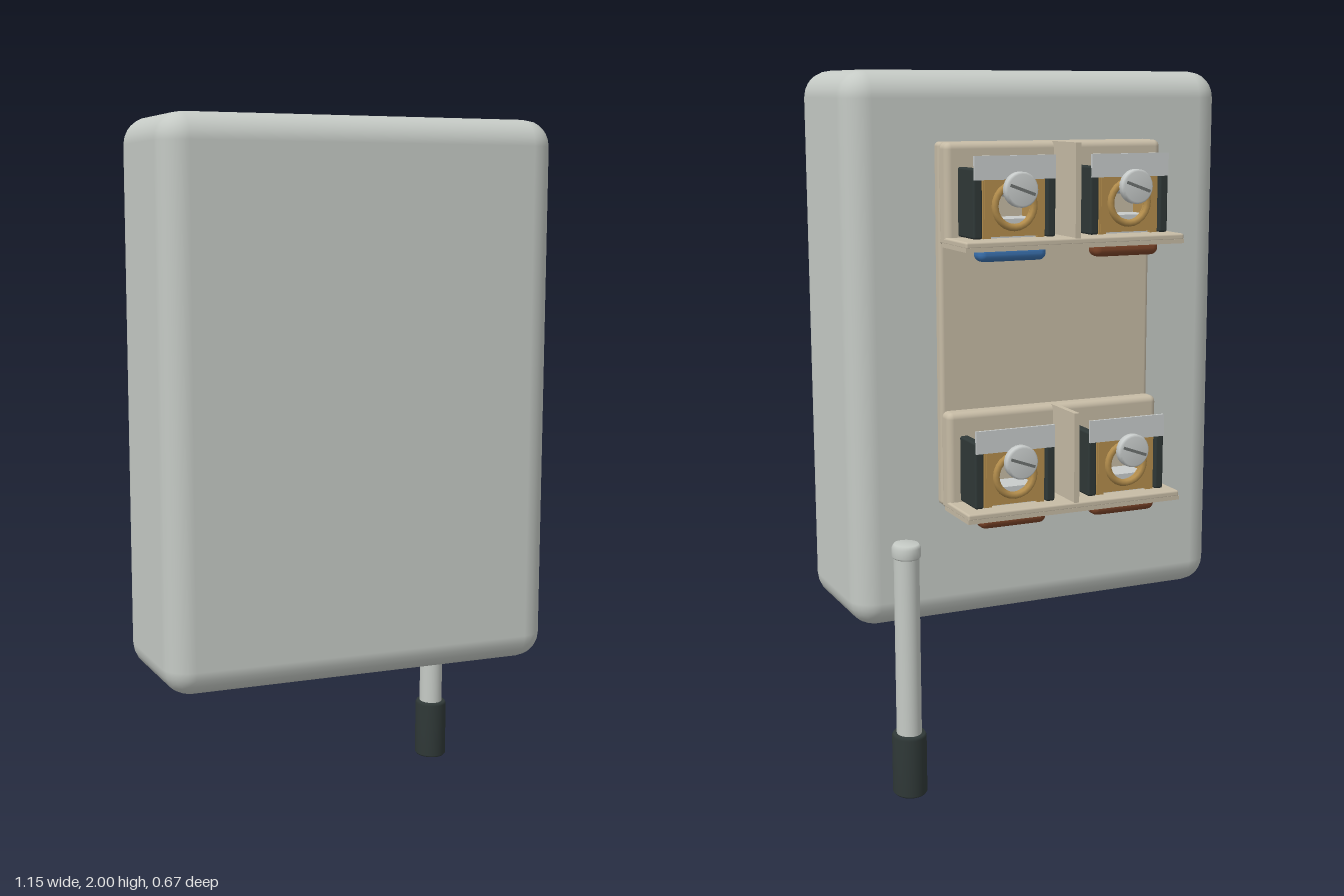
import * as THREE from 'three';
import { RoundedBoxGeometry } from 'three/addons/geometries/RoundedBoxGeometry.js';

const mat = (name, color) => {
  const m = new THREE.MeshStandardMaterial({ color });
  m.name = name;
  return m;
};

export function createModel() {
  const model = new THREE.Group();
  model.name = 'wallUnit';
  const M = {
    casing: mat('pale grey casing', 0xc5cac5),
    beige: mat('beige plastic', 0xc6bba5),
    dark: mat('dark plastic', 0x2f3837),
    steel: mat('steel', 0xc8cccb),
    brass: mat('brass', 0xb38d4c),
    blue: mat('blue insert', 0x3a72b0),
    brown: mat('brown insert', 0x7d4529),
    slot: mat('slot grey', 0x6d7270),
  };

  const add = (parent, name, geo, material, x = 0, y = 0, z = 0) => {
    const m = new THREE.Mesh(geo, material);
    m.name = name;
    m.position.set(x, y, z);
    parent.add(m);
    return m;
  };
  // Box given by its lower and upper corners, optionally rounded
  const box = (parent, name, material, a, b, r = 0) => {
    const s = b.map((v, i) => v - a[i]);
    const c = b.map((v, i) => (v + a[i]) / 2);
    const geo = r ? new RoundedBoxGeometry(...s, 3, r) : new THREE.BoxGeometry(...s);
    return add(parent, name, geo, material, ...c);
  };
  // Lathe whose axis points to the back
  const lathe = (pts, seg = 24) =>
    new THREE.LatheGeometry(pts.map(p => new THREE.Vector2(...p)), seg).rotateX(-Math.PI / 2);

  // Main casing and mounting plate
  box(model, 'casing', M.casing, [-0.575, 0.45, -0.095], [0.575, 2, 0.335], 0.075);
  box(model, 'mountingPlate', M.beige, [-0.325, 0.8, -0.125], [0.325, 1.81, -0.085], 0.012);

  // Brass clamp face with a round wire opening
  const face = new THREE.Shape();
  face.moveTo(-0.085, 0.035);
  face.lineTo(0.085, 0.035);
  face.lineTo(0.085, 0.2);
  face.lineTo(-0.085, 0.2);
  face.closePath();
  const hole = new THREE.Path();
  hole.absarc(0, 0.115, 0.05, 0, Math.PI * 2, true);
  face.holes.push(hole);
  const faceGeo = new THREE.ExtrudeGeometry(face, { depth: 0.012, bevelEnabled: false, curveSegments: 16 });

  // Screw head and threaded shank
  const headGeo = lathe([[0, 0], [0.04, 0], [0.047, 0.006], [0.047, 0.024], [0.041, 0.03], [0, 0.03]]);
  const thread = [[0, 0], [0.016, 0]];
  for (let i = 0; i < 6; i++) thread.push([0.025, 0.008 + i * 0.016], [0.017, 0.016 + i * 0.016]);
  const threadGeo = lathe(thread, 16);
  const ringGeo = new THREE.TorusGeometry(0.057, 0.01, 8, 24);

  // One screw terminal, with its own floor at y = 0
  const terminal = (insert) => {
    const t = new THREE.Group();
    t.name = 'terminal';
    for (const s of [-1, 1]) {
      const span = (a, b) => [Math.min(s * a, s * b), Math.max(s * a, s * b)];
      const [c0, c1] = span(0.094, 0.12);
      box(t, 'cheek', M.dark, [c0, 0.03, -0.287], [c1, 0.215, -0.175], 0.006);
      const [w0, w1] = span(0.068, 0.09);
      box(t, 'clampWall', M.brass, [w0, 0.03, -0.28], [w1, 0.19, -0.175]);
    }
    add(t, 'clampFace', faceGeo, M.brass, 0, 0, -0.282);
    add(t, 'clampRing', ringGeo, M.brass, 0, 0.115, -0.284);
    box(t, 'clampBlock', M.steel, [-0.068, 0.03, -0.268], [0.068, 0.08, -0.175]);
    box(t, 'labelStrip', M.steel, [-0.118, 0.185, -0.291], [0.118, 0.248, -0.283]);
    add(t, 'screwHead', headGeo, M.steel, 0, 0.16, -0.307);
    box(t, 'screwSlot', M.slot, [-0.038, -0.004, -0.0015], [0.038, 0.004, 0.0015])
      .position.set(0, 0.16, -0.3375);
    t.children[t.children.length - 1].rotation.z = 0.35;
    add(t, 'screwThread', threadGeo, M.steel, 0, 0.16, -0.215);
    box(t, 'cableInsert', insert, [-0.1, -0.033, -0.281], [0.1, 0.01, -0.223], 0.02);
    return t;
  };

  // Terminal blocks: upper and lower, each with two terminals
  for (const [name, y, leftInsert] of [['upperBlock', 1.53, M.blue], ['lowerBlock', 0.795, M.brown]]) {
    const block = new THREE.Group();
    block.name = name;
    block.position.y = y;
    box(block, 'backPad', M.beige, [-0.327, 0, -0.18], [0.327, 0.28, -0.122], 0.018);
    box(block, 'shelf', M.beige, [-0.327, 0.008, -0.32], [0.327, 0.027, -0.13], 0.006);
    box(block, 'divider', M.beige, [-0.008, 0.01, -0.318], [0.008, 0.28, -0.165]);
    // Raised rim and rib under the shelf
    box(block, 'shelfRim', M.beige, [-0.327, 0, -0.32], [0.327, 0.012, -0.31]);
    for (const x of [-0.322, 0, 0.322])
      box(block, 'shelfRib', M.beige, [x - 0.005, 0, -0.318], [x + 0.005, 0.012, -0.15]);
    for (const s of [-1, 1]) {
      const t = terminal(s > 0 ? leftInsert : M.brown);
      t.position.x = s * 0.172;
      block.add(t);
    }
    model.add(block);
  }

  // Slightly oval rod with a cap and a dark grip
  const rod = new THREE.Group();
  rod.name = 'rod';
  rod.position.set(0.465, 0, -0.206);
  rod.scale.z = 1.1;
  const turned = (name, material, pts) =>
    add(rod, name, new THREE.LatheGeometry(pts.map(p => new THREE.Vector2(...p)), 28), material);
  turned('grip', M.dark, [[0, 0], [0.043, 0], [0.048, 0.006], [0.048, 0.172], [0.044, 0.18], [0, 0.18]]);
  add(rod, 'shaft', new THREE.CylinderGeometry(0.035, 0.035, 0.53, 28), M.casing, 0, 0.435, 0);
  turned('rodCap', M.casing, [[0, 0.69], [0.036, 0.69], [0.04, 0.695], [0.04, 0.72], [0.034, 0.73], [0, 0.73]]);
  model.add(rod);

  return model;
}
